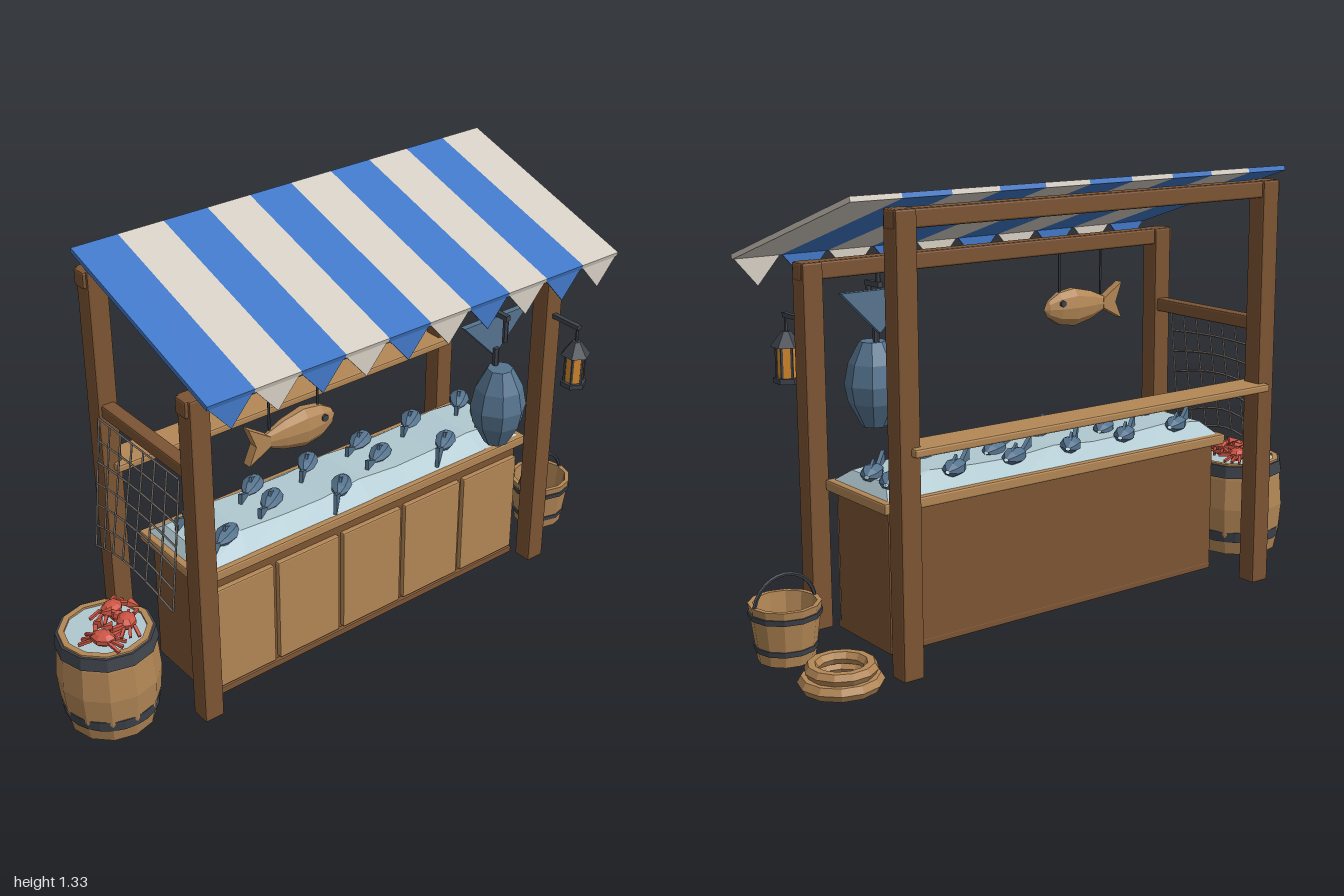
import * as THREE from 'three';
import { RoundedBoxGeometry } from 'three/addons/geometries/RoundedBoxGeometry.js';

export function createModel() {
  const root = new THREE.Group();
  root.name = 'fishStall';
  const mat = (name, color, side = THREE.FrontSide) => {
    const m = new THREE.MeshStandardMaterial({ color, side });
    m.name = name;
    return m;
  };
  const darkWood = mat('darkWood', 0x7c5433), tan = mat('tanWood', 0xb38756, THREE.DoubleSide);
  const blue = mat('blueCloth', 0x4178c8, THREE.DoubleSide), cream = mat('creamCloth', 0xd6cfc4, THREE.DoubleSide);
  const ice = mat('ice', 0xb0c8d0), scale = mat('fishBlue', 0x56748f), iron = mat('iron', 0x3e434b);
  const red = mat('crabRed', 0xcc5443), glow = mat('lanternGlow', 0xd98a2b), twine = mat('twine', 0x77706a);

  // Faceted normals for every part
  const flat = (g) => {
    const f = g.index ? g.toNonIndexed() : g;
    f.computeVertexNormals();
    return f;
  };
  const add = (name, geo, material, pos = [0, 0, 0], rot = [0, 0, 0], parent = root) => {
    const m = new THREE.Mesh(flat(geo), material);
    m.name = name;
    m.position.set(...pos);
    m.rotation.set(...rot);
    parent.add(m);
    return m;
  };
  const group = (name, pos, yaw = 0, parent = root) => {
    const g = new THREE.Group();
    g.name = name;
    g.position.set(...pos);
    g.rotation.y = yaw;
    parent.add(g);
    return g;
  };
  const beam = (w, h, d, r = 0.006) => new RoundedBoxGeometry(w, h, d, 1, r);
  const lathe = (pts, n) => new THREE.LatheGeometry(pts.map(p => new THREE.Vector2(...p)), n);
  const plate = (pts, depth) => new THREE.ExtrudeGeometry(
    new THREE.Shape(pts.map(p => new THREE.Vector2(...p))), { depth, bevelEnabled: false }).translate(0, 0, -depth / 2);
  const rod = (r, h, n = 6) => new THREE.CylinderGeometry(r, r, h, n);

  // Frame: posts, top beams, side rail and back shelf
  const FZ = 0.187, BZ = -0.302, LX = -0.63, RX = 0.695;
  for (const x of [LX, RX]) {
    add('frontPost', beam(0.066, 1.095, 0.064), darkWood, [x, 0.5475, FZ]);
    add('backPost', beam(0.066, 1.288, 0.064), darkWood, [x, 0.644, BZ]);
  }
  add('frontBeam', beam(1.405, 0.052, 0.05), darkWood, [0.029, 1.069, FZ]);
  add('backBeam', beam(1.405, 0.052, 0.05), darkWood, [0.029, 1.261, BZ]);
  add('sideRail', beam(0.045, 0.042, 0.46), darkWood, [LX, 0.84, -0.057]);
  add('backShelf', beam(1.32, 0.025, 0.11), tan, [0.0325, 0.643, -0.3]);

  // Striped canopy with pointed valance
  const STRIPE = 0.1535;
  for (let i = 0; i < 10; i++) {
    const x = -0.66 + STRIPE * (i + 0.5), m = i % 2 ? cream : blue;
    add('canopyStripe', new THREE.BoxGeometry(STRIPE, 0.015, 0.688), m, [x, 1.218, -0.03], [0.318, 0, 0]);
    add('valance', plate([[-STRIPE / 2, 0], [0, -0.088], [STRIPE / 2, 0]], 0.005), m, [x, 1.11, 0.291]);
  }

  // Counter with panelled front and a bed of ice
  const CX = 0.0325;
  add('counterBody', beam(1.24, 0.42, 0.275), darkWood, [CX, 0.217, -0.008]);
  add('counterFoot', beam(1.24, 0.022, 0.29, 0.004), darkWood, [CX, 0.015, -0.001]);
  add('counterTop', beam(1.295, 0.034, 0.323), tan, [CX, 0.444, -0.013]);
  for (let i = 0; i < 5; i++)
    add('counterPanel', beam(0.232, 0.357, 0.022, 0.005), tan, [CX + (i - 2) * 0.2485, 0.212, 0.135]);
  const mound = new THREE.BoxGeometry(1.26, 0.044, 0.3, 8, 1, 4), mp = mound.attributes.position;
  for (let i = 0; i < mp.count; i++) if (mp.getY(i) > 0) {
    mp.setX(i, mp.getX(i) * 0.95);
    mp.setZ(i, mp.getZ(i) * 0.6);
    mp.setY(i, 0.026 + 0.008 * Math.cos(mp.getX(i) * 15));
  }
  add('iceBed', mound, ice, [CX, 0.478, -0.013]);

  // Small fish laid out on the ice
  const bodyProfile = [[0.008, -0.06], [0.024, -0.035], [0.031, 0], [0.025, 0.03], [0.006, 0.055]];
  for (let i = 0; i < 6; i++) for (const z of [i % 2 ? -0.01 : 0.06, -0.11]) {
    const f = group('smallFish', [-0.455 + i * 0.2145, 0.506, z], 0.62 + (i % 3 - 1) * 0.12);
    const b = add('smallFishBody', lathe(bodyProfile, 7), scale, [0, 0, 0], [0, 0, -Math.PI / 2], f);
    b.scale.set(0.82, 1, 1.1);
    add('smallFishTail', plate([[-0.045, 0], [-0.115, 0.036], [-0.115, -0.036]], 0.012), scale, [0, 0, 0], [0, 0, 0], f);
    add('smallFishFin', plate([[-0.02, 0.018], [0.02, 0.018], [-0.015, 0.036]], 0.008), scale, [0, 0, 0], [0, 0, 0], f);
  }

  // Hanging tan fish sign
  const sign = group('hangingFish', [-0.28, 0.865, FZ]);
  const sb = add('hangingFishBody', lathe([[0, -0.14], [0.02, -0.125], [0.048, -0.06], [0.064, 0.01], [0.054, 0.07],
    [0.028, 0.11], [0, 0.127]], 10), tan, [0, 0, 0], [0, 0, -Math.PI / 2], sign);
  sb.scale.z = 0.55;
  add('hangingFishTail', plate([[-0.11, 0.015], [-0.185, 0.065], [-0.16, 0], [-0.185, -0.055], [-0.11, -0.015]], 0.03),
    tan, [0, 0, 0], [0, 0, 0], sign);
  for (const s of [-1, 1]) add('hangingFishEye', rod(0.011, 0.009, 6), iron, [0.07, 0.018, s * 0.028], [Math.PI / 2, 0, 0], sign);
  for (const x of [-0.385, -0.215]) add('hangingString', rod(0.004, 0.17, 5), iron, [x, 0.98, FZ]);

  // Large hanging fish with tail and hook
  add('largeFishBody', lathe([[0, 0.57], [0.038, 0.57], [0.078, 0.645], [0.088, 0.7], [0.075, 0.765],
    [0.04, 0.83], [0, 0.83]], 8), scale, [0.452, 0, 0.24], [0, 0.2, 0]);
  add('largeFishTail', plate([[-0.13, 0.99], [0, 0.86], [0.13, 0.99]], 0.02), scale, [0.455, 0, 0.2]);
  add('largeFishStem', rod(0.01, 0.08), iron, [0.455, 0.848, 0.215]);
  add('largeFishHook', rod(0.009, 0.085), iron, [0.455, 0.965, 0.25]);
  add('hookArm', new THREE.BoxGeometry(0.016, 0.016, 0.075), iron, [0.455, 1.005, 0.222]);
  add('hookHanger', rod(0.008, 0.06), iron, [0.455, 1.03, 0.195]);

  // Lantern on its bracket
  const lan = group('lantern', [0.6975, 0, 0.32]);
  add('lanternBracket', new THREE.BoxGeometry(0.016, 0.014, 0.17), iron, [0, 0.924, -0.078], [0, 0, 0], lan);
  add('lanternHanger', rod(0.005, 0.06, 5), iron, [0, 0.895, 0], [0, 0, 0], lan);
  add('lanternGlass', rod(0.03, 0.1), glow, [0, 0.785, 0], [0, 0, 0], lan);
  add('lanternBase', rod(0.042, 0.016), iron, [0, 0.73, 0], [0, 0, 0], lan);
  add('lanternRoof', new THREE.CylinderGeometry(0.014, 0.048, 0.045, 6), iron, [0, 0.853, 0], [0, 0, 0], lan);
  for (let i = 0; i < 6; i++) {
    const a = i * Math.PI / 3;
    add('lanternBar', rod(0.005, 0.1, 4), iron, [Math.sin(a) * 0.03, 0.785, Math.cos(a) * 0.03], [0, a, 0], lan);
  }

  // Net draped from the side rail
  const netPoint = (s, t) => new THREE.Vector3(-0.662 - 0.045 * t - 0.015 * t * Math.sin(Math.PI * s),
    0.82 - 0.43 * t + 0.055 * t * Math.sin(Math.PI * s), 0.145 - 0.42 * s);
  const strand = (f) => new THREE.TubeGeometry(
    new THREE.CatmullRomCurve3([0, 0.25, 0.5, 0.75, 1].map(f)), 10, 0.0038, 4);
  for (let i = 0; i <= 7; i++) add('netStrand', strand(t => netPoint(i / 7, t)), twine);
  for (let i = 0; i <= 6; i++) add('netStrand', strand(s => netPoint(s, i / 6)), twine);

  // Barrel of crabs
  const bar = group('barrel', [-0.85, 0, 0]);
  add('barrelBody', lathe([[0, 0], [0.132, 0], [0.147, 0.07], [0.155, 0.16], [0.147, 0.26], [0.138, 0.315],
    [0.12, 0.315], [0.12, 0.295]], 12), tan, [0, 0, 0], [0, 0, 0], bar);
  const hoop = (r0, r1, y, h, n, parent) => add('hoop', lathe([[r0 - 0.012, y], [r0, y], [r1, y + h], [r1 - 0.012, y + h]], n),
    iron, [0, 0, 0], [0, 0, 0], parent);
  hoop(0.152, 0.146, 0.27, 0.04, 12, bar);
  hoop(0.143, 0.147, 0.045, 0.035, 24, bar);
  add('barrelIce', rod(0.122, 0.02, 12), ice, [0, 0.298, 0], [0, 0, 0], bar);
  for (const [x, z, yaw, y] of [[0.05, -0.045, 0.4, 0.335], [-0.04, 0.055, 2.2, 0.33], [0.045, 0.045, 4.2, 0.345]]) {
    const c = group('crab', [x, y, z], yaw, bar);
    add('crabShell', new THREE.SphereGeometry(0.036, 7, 5), red, [0, 0, 0], [0, 0, 0], c).scale.set(1.1, 0.6, 0.85);
    for (const s of [-1, 1]) {
      add('crabArm', new THREE.BoxGeometry(0.012, 0.012, 0.04), red, [s * 0.036, 0.004, 0.03], [0, s * 0.4, 0], c);
      add('crabClaw', new THREE.ConeGeometry(0.016, 0.04, 5), red, [s * 0.034, 0.01, 0.06], [Math.PI / 2, 0, 0], c);
      for (let i = -1; i <= 1; i++)
        add('crabLeg', new THREE.BoxGeometry(0.04, 0.008, 0.009), red, [s * 0.045, -0.006, i * 0.02 - 0.008],
          [0, s * i * -0.35, s * -0.35], c);
    }
  }

  // Bucket with handle
  const buc = group('bucket', [0.887, 0, 0.033]);
  add('bucketBody', lathe([[0, 0], [0.082, 0], [0.104, 0.168], [0.09, 0.168], [0.075, 0.02], [0, 0.02]], 12), tan,
    [0, 0, 0], [0, 0, 0], buc);
  hoop(0.09, 0.092, 0.032, 0.016, 12, buc);
  hoop(0.104, 0.106, 0.13, 0.016, 12, buc);
  add('bucketHandle', new THREE.TorusGeometry(0.097, 0.006, 5, 14, Math.PI), iron, [0, 0.15, 0], [0, 0, 0], buc);

  // Coiled rope
  add('ropeCoil', new THREE.TorusGeometry(0.097, 0.022, 6, 12), tan, [0.875, 0.022, -0.247], [Math.PI / 2, 0, 0]);
  add('ropeCoil', new THREE.TorusGeometry(0.082, 0.02, 6, 12), tan, [0.875, 0.058, -0.25], [Math.PI / 2, 0, 0.2]);
  return root;
}
